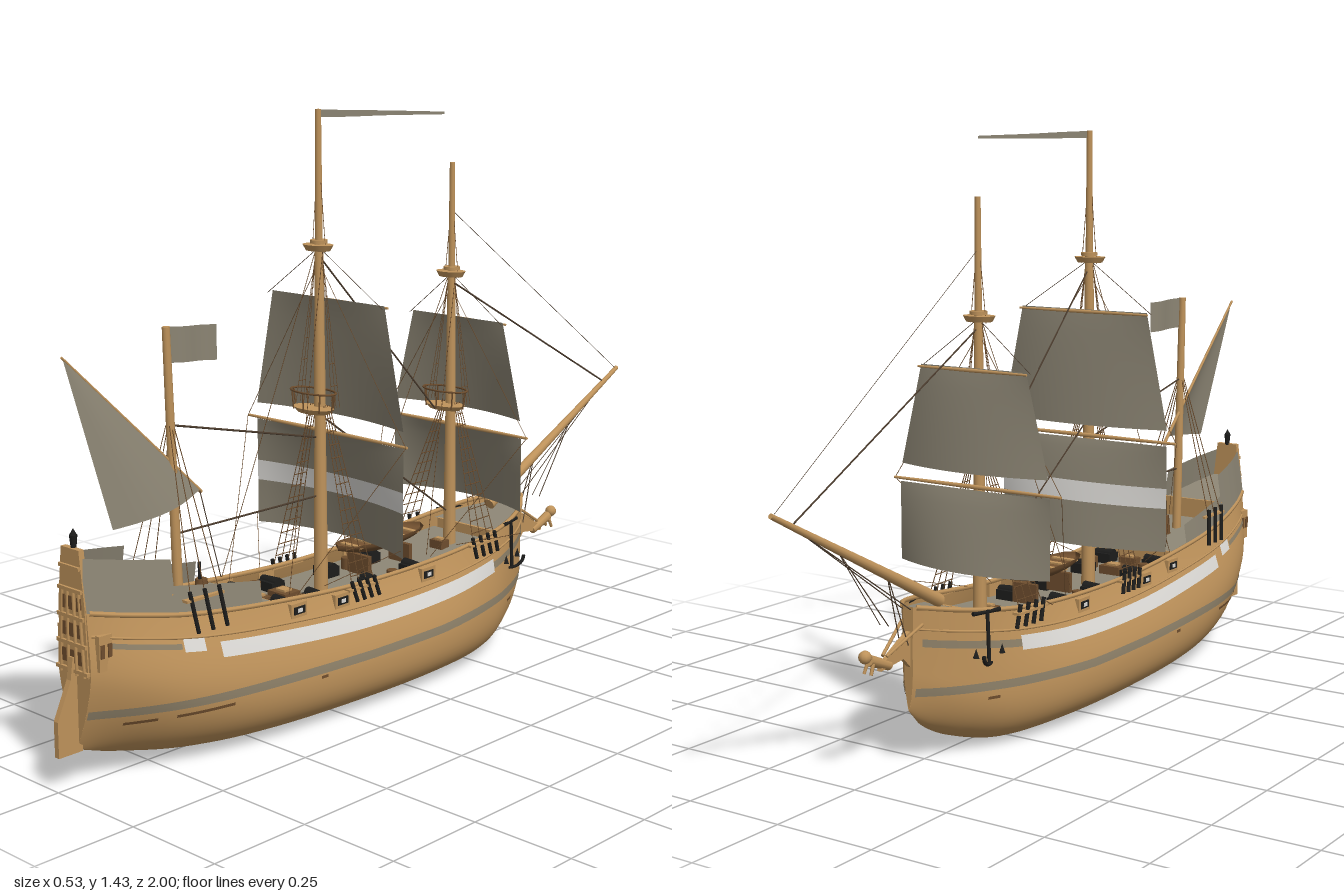
import * as THREE from 'three';

const mat = (name, color) => { const m = new THREE.MeshStandardMaterial({ color, side: THREE.DoubleSide }); m.name = name; return m; };
const V = (x, y, z) => new THREE.Vector3(x, y, z);
const lerp = THREE.MathUtils.lerp;

// Hull stations: z, keel height, widest half-width, its height, rail half-width, rail height, fullness
const ST = [
  [-.555, .13, .012, .22, .014, .375, 1.3], [-.53, .105, .035, .21, .038, .37, 1.5], [-.5, .08, .058, .2, .06, .365, 1.8],
  [-.42, .04, .1, .17, .096, .352, 2.2], [-.3, .008, .145, .145, .12, .335, 2.7], [-.1, .005, .178, .13, .125, .318, 3],
  [.2, .005, .18, .13, .122, .315, 3], [.5, .008, .165, .15, .115, .335, 2.6], [.7, .022, .14, .19, .1, .357, 2],
  [.85, .055, .1, .24, .075, .385, 1.4], [.945, .087, .056, .27, .046, .405, 1]];
function station(z) {
  let i = 0;
  while (i < ST.length - 2 && z > ST[i + 1][0]) i++;
  const a = ST[i], b = ST[i + 1], t = (z - a[0]) / (b[0] - a[0]), h = b[0] - a[0];
  const p = ST[i - 1] || a, n = ST[i + 2] || b;
  return a.map((v, k) => {                       // smooth interpolation along the hull
    const m0 = (b[k] - p[k]) / (b[0] - p[0]) * h, m1 = (n[k] - a[k]) / (n[0] - a[0]) * h;
    const t2 = t * t, t3 = t2 * t;
    return (2 * t3 - 3 * t2 + 1) * v + (t3 - 2 * t2 + t) * m0 + (3 * t2 - 2 * t3) * b[k] + (t3 - t2) * m1;
  });
}
const railY = z => station(z)[5];
function halfWidth(z, y) {
  const [, yk, wm, ym, wt, yt, f] = station(z);
  if (y <= ym) { const s = Math.max(0, (y - yk) / (ym - yk)); return wm * Math.pow(Math.max(0, 1 - Math.pow(1 - s, 1 + f / 2)), 1 / f); }
  if (y >= yt) return Math.max(.004, wt - (y - yt) * .15);
  const s = (y - ym) / (yt - ym);
  return lerp(wm, wt, s * s * (2 - s));
}
// Surface from a rule f(u, v), u and v in 0..1
function grid(nu, nv, f) {
  const pos = [], idx = [];
  for (let j = 0; j <= nv; j++) for (let i = 0; i <= nu; i++) pos.push(...f(i / nu, j / nv));
  for (let j = 0; j < nv; j++) for (let i = 0; i < nu; i++) {
    const a = j * (nu + 1) + i, c = a + nu + 1;
    idx.push(a, a + 1, c, a + 1, c + 1, c);
  }
  const g = new THREE.BufferGeometry();
  g.setAttribute('position', new THREE.Float32BufferAttribute(pos, 3));
  g.setIndex(idx); g.computeVertexNormals();
  return g;
}

export function createModel() {
  const root = new THREE.Group();
  const wood = mat('tan wood', 0xbf935b), cloth = mat('grey canvas', 0x8b8473), deckM = mat('deck grey', 0x8e8776), white = mat('white paint', 0xdcdad6),
    stripe = mat('waterline grey', 0x8d8068), black = mat('black iron', 0x1d1d1c), rope = mat('dark rope', 0x4f3f30), dark = mat('dark wood', 0x6f4e2e);
  const add = (name, geo, m, x = 0, y = 0, z = 0) => {
    const o = new THREE.Mesh(geo, m); o.name = name; o.position.set(x, y, z); root.add(o); return o;
  };
  const box = (name, m, w, h, d, x, y, z) => add(name, new THREE.BoxGeometry(w, h, d), m, x, y, z);
  // Spar or rope between two points
  const bar = (name, m, a, b, r0, r1 = r0, n = 10) => {
    const d = b.clone().sub(a), o = add(name, new THREE.CylinderGeometry(r1, r0, d.length(), n), m);
    o.position.copy(a).addScaledVector(d, .5);
    o.quaternion.setFromUnitVectors(V(0, 1, 0), d.normalize());
  };
  const line = (a, b, r = .0014, m = rope) => bar('rope', m, a, b, r, r, 4);
  const profile = (name, m, pts, depth) => {      // outline in the (z, y) plane, given thickness in x
    const g = new THREE.ExtrudeGeometry(new THREE.Shape(pts.map(p => new THREE.Vector2(...p))), { depth, bevelEnabled: false });
    add(name, g.rotateY(-Math.PI / 2).translate(depth / 2, 0, 0), m);
  };
  const sides = f => [1, -1].forEach(f);

  // Hull shell and transom
  add('hull', grid(64, 48, (u, v) => {
    const z = lerp(-.555, .945, u), s = station(z), a = Math.abs(v * 2 - 1), y = lerp(s[1], s[5], Math.pow(a, 1.8));
    return [Math.sign(v * 2 - 1) * halfWidth(z, y), y, z];
  }), wood);
  add('transom', grid(2, 12, (u, v) => { const y = lerp(.088, .5, v); return [(u * 2 - 1) * halfWidth(.945, y), y, .945]; }), wood);
  add('stem', grid(2, 8, (u, v) => { const y = lerp(.13, .375, v); return [(u * 2 - 1) * halfWidth(-.555, y), y, -.555]; }), wood);

  // Painted bands, bulwark panels and rails following the hull side
  const band = (name, m, z0, z1, lo, hi, off = .002) => sides(s => add(name, grid(48, 3, (u, v) => {
    const z = lerp(z0, z1, u), y = lerp(lo(z), hi(z), v);
    return [s * (halfWidth(z, y) + off), y, z];
  }), m));
  const wl = z => .145 + .04 * Math.max(0, -z - .05) + .022 * Math.max(0, z - .2);
  const below = d => z => railY(z) - d;
  band('waterline stripe', stripe, -.55, .943, wl, z => wl(z) + .02);
  band('bow stripe', stripe, -.54, -.3, below(.09), below(.072));
  band('stern stripe', stripe, .74, .93, below(.074), below(.062));
  band('white stripe', white, -.3, .64, below(.098), below(.064));
  band('white stripe end', white, .68, .735, below(.08), below(.052));
  [[.8, .87], [.62, .76], [.35, .37], [-.4, -.37]].forEach(([a, b]) => band('draught mark', dark, a, b, () => .137, () => .144));
  band('quarter bulwark', cloth, .5, .737, railY, z => lerp(.39, .427, (z - .5) / .237));
  band('poop bulwark', cloth, .737, .945, railY, z => lerp(.485, .522, (z - .737) / .208));
  [0, .05].forEach(d => sides(s => {
    const pts = Array.from({ length: 24 }, (_, i) => { const z = lerp(-.55, .94, i / 23), y = railY(z) - d; return V(s * (halfWidth(z, y) + .001), y, z); });
    add('rail', new THREE.TubeGeometry(new THREE.CatmullRomCurve3(pts), 60, d ? .003 : .006, 6), wood);
  }));

  // Decks with bulkheads at the steps
  const deck = (name, z0, z1, h) => add(name, grid(2, 20, (u, v) => {
    const z = lerp(z0, z1, v), y = railY(z) + h;
    return [(u * 2 - 1) * (halfWidth(z, y) - .002), y, z];
  }), deckM);
  deck('main deck', -.35, .45, -.04); deck('fore deck', -.55, -.35, -.015);
  deck('quarter deck', .45, .74, -.005); deck('poop deck', .74, .944, .045);
  box('fore bulkhead', wood, .2, .025, .008, 0, .315, -.35);
  box('quarter bulkhead', wood, .225, .04, .008, 0, .305, .45);
  box('poop bulkhead', wood, .18, .06, .008, 0, .38, .74);

  // Stern gallery, lantern and rudder
  const tr = new THREE.Shape([[-.05, .26], [.05, .26], [.044, .42], [.03, .54], [-.03, .54], [-.044, .42]].map(p => new THREE.Vector2(...p)));
  add('stern panel', new THREE.ExtrudeGeometry(tr, { depth: .014, bevelEnabled: false }), wood, 0, 0, .934);
  [.27, .33, .39, .45, .5].forEach((y, i) => box('stern ledge', wood, .108 - i * .01, .008, .018, 0, y, .945));
  [.3, .36, .42].forEach(y => [-.027, 0, .027].forEach(x => box('stern window', dark, .014, .03, .004, x, y, .949)));
  [-.04, -.014, .014, .04].forEach(x => bar('stern pilaster', wood, V(x, .26, .95), V(x * .7, .45, .95), .004, .004, 6));
  sides(s => {
    box('quarter gallery', wood, .014, .08, .035, s * .064, .315, .915);
    [.905, .925].forEach(z => box('gallery window', dark, .004, .03, .01, s * .072, .32, z));
  });
  add('lantern', new THREE.CylinderGeometry(.009, .006, .03, 8), black, 0, .552, .937);
  add('lantern cap', new THREE.ConeGeometry(.009, .016, 8), black, 0, .574, .937);
  profile('rudder', wood, [[.935, .083], [1, .083], [1, .165], [.962, .25], [.955, .3], [.935, .3]], .014);

  // Masts with caps and lookout platforms
  const mast = (name, z, y0, ys, rs, lean = 0) => ys.forEach((y, i) => {
    const a = i ? ys[i - 1] : y0;
    bar(name, wood, V(0, a - (i ? .04 : 0), z), V(0, y, z + lean), rs[i], rs[i] * .75, 12);
  });
  mast('main mast', .195, .26, [.76, 1.12, 1.43], [.018, .0145, .0095]);
  mast('fore mast', -.28, .28, [.7, 1.01, 1.28], [.017, .0135, .009]);
  mast('mizzen mast', .648, .33, [.98], [.012], .02);
  [[.195, .725, 1.11], [-.28, .66, 1.0]].forEach(([z, y, cap]) => {
    const zc = z + .022;
    add('top platform', new THREE.CylinderGeometry(.046, .036, .012, 20), wood, 0, y, zc).scale.set(1.3, 1, .75);
    const rail = add('top railing', new THREE.TorusGeometry(.05, .0025, 6, 28), dark, 0, y + .045, zc);
    rail.rotation.x = Math.PI / 2; rail.scale.set(1.35, .7, 1);
    for (let i = 0; i < 8; i++) {
      const a = i / 8 * Math.PI * 2, x = Math.cos(a) * .06, dz = Math.sin(a) * .034;
      bar('railing post', dark, V(x, y, zc + dz), V(x * 1.1, y + .045, zc + dz * 1.03), .002, .002, 5);
    }
    add('mast cap', new THREE.CylinderGeometry(.03, .024, .014, 16), wood, 0, cap, z + .003).scale.x = 1.4;
    add('cap ring', new THREE.CylinderGeometry(.021, .021, .008, 12), wood, 0, cap + .014, z);
  });
  bar('bowsprit', wood, V(0, .365, -.44), V(0, .657, -1), .016, .006, 12);

  // Square sails and yards
  const sail = (name, m, z, [yt, wt], [yb, wb], bulge, v0 = 0, v1 = 1) => add(name, grid(20, 10, (u, v) => {
    const x = u * 2 - 1, t = lerp(v0, v1, v);
    return [x * lerp(wt, wb, t), lerp(yt, yb, t), z - bulge * (1 - x * x) * Math.pow(t, .8) - .006];
  }), m);
  const yard = (y, z, w, r) => sides(s => bar('yard', wood, V(0, y, z), V(s * w, y, z), r, r * .6, 8));
  sail('main topsail', cloth, .175, [.987, .185], [.7, .245], .035);
  [[0, .4, cloth], [.4, .59, white], [.59, 1, cloth]].forEach(([a, b, m]) => sail('main course', m, .175, [.66, .245], [.395, .245], .055, a, b));
  sail('fore topsail', cloth, -.297, [.887, .15], [.645, .21], .035);
  sail('fore course', cloth, -.297, [.6, .215], [.41, .215], .05);
  [[.667, .178, .265, .0055], [.982, .163, .19, .0045], [.606, -.295, .24, .0055], [.882, -.309, .155, .0045]].forEach(a => yard(...a));

  // Lateen mizzen sail
  const A = V(0, .95, .95), B = V(0, .598, .58), C = V(.05, .573, .87);
  add('lateen sail', grid(14, 14, (u, v) => {
    const p = A.clone().lerp(B.clone().lerp(C, u), v);
    p.x += .035 * v * Math.sin(Math.PI * u);
    return p.toArray();
  }), cloth);
  bar('lateen yard', wood, V(0, .95, .952), V(-.003, .592, .573), .003, .0045, 8);

  // Flag and pennant
  add('flag', grid(12, 3, (u, v) => [.03 * u + .006 * Math.sin(u * 6), lerp(.9, .98, v) - .006 * u, .668 - .122 * u]), cloth);
  add('pennant', grid(24, 2, (u, v) => [.12 * u + .009 * Math.sin(u * 8), 1.42 - .006 * u + (v - .5) * .018 * (1 - u * .65), .195 - .295 * u]), cloth);

  // Shrouds with ratlines, and chain plates on the hull side
  const shrouds = (zs, zTop, yBase, yTop, xTop, rungs, plate) => sides(s => {
    const end = zs.length - 1, low = zs.map(z => V(s * (halfWidth(z, yBase) + .012), yBase, z)), high = zs.map((z, i) => V(s * xTop, yTop, zTop + (1.5 - i) * .006));
    box('channel', wood, .02, .006, Math.abs(zs[0] - zs[end]) + .03, low[0].x - s * .005, yBase, (zs[0] + zs[end]) / 2);
    zs.forEach((z, i) => {
      line(low[i], high[i], .0013, dark);
      bar('chain plate', black, V(s * (halfWidth(z, yBase - plate) + .006), yBase - plate, z - .012), low[i].clone().add(V(0, .02, .003)), .005, .005, 6);
    });
    for (let k = 1; k < rungs; k++) line(low[0].clone().lerp(high[0], k / rungs), low[end].clone().lerp(high[end], k / rungs), .0012, dark);
  });
  shrouds([.225, .2, .175, .15], .195, .31, .735, .022, 14, .03);
  shrouds([-.215, -.245, -.275, -.305], -.28, .325, .67, .022, 12, .035);
  shrouds([.705, .665, .625], .66, .39, .76, .006, 1, .075);

  // Upper shrouds, lifts, braces and backstays
  [[.195, .735, 1.1, 1.35, .667, .265, .982, .19], [-.28, .67, .99, 1.2, .606, .24, .882, .155]].forEach(([z, yp, yc, yt, y1, w1, y2, w2]) => sides(s => {
    [-.006, .006, .02].forEach(d => line(V(s * .06, yp, z + d), V(s * .01, yc, z), .0009, dark));
    for (let k = 1; k < 7; k++) { const t = k / 7, x = s * lerp(.06, .01, t), y = lerp(yp, yc, t); line(V(x, y, z - .006 * (1 - t)), V(x, y, z + .02 * (1 - t)), .0009, dark); }
    line(V(s * .022, yc, z), V(0, yt, z), .001, dark);
    line(V(s * w2, y2, z - .013), V(0, yc + .01, z), .0008);
    line(V(s * w1, y1, z - .013), V(s * .01, yc - .04, z), .0009, dark);
    line(V(s * w1, y1, z - .013), V(s * .11, .32, z + .2), .0008, dark);
    line(V(s * .012, yc, z), V(s * .115, .33, z + .22), .0008, dark);
    line(V(s * w1 * .92, y1 - .25, z - .02), V(s * .11, .33, z + .1), .0009, dark);
  }));
  // Fore-and-aft stays
  [[1.09, .195, .66, -.22], [.71, .195, .38, -.27], [.98, -.28, .63, -.93], [.76, .662, .655, .2], [.51, .655, .512, .2]].forEach(([a, b, c, d]) => line(V(0, a, b), V(0, c, d), .0024));
  line(V(0, 1.16, -.28), V(0, .655, -.995), .0008);
  line(V(0, .598, .58), V(0, .38, .52));
  [[.555, -.8, .35, -.64], [.62, -.93, .37, -.56], [.47, -.63, .29, -.57]].forEach(([a, b, c, d]) => sides(s => line(V(0, a, b), V(s * .012, c, d))));

  // Beakhead and carved figurehead
  profile('beakhead knee', wood, [[-.55, .23], [-.58, .26], [-.66, .25], [-.655, .265], [-.585, .305], [-.55, .32]], .012);
  bar('figure body', wood, V(0, .255, -.625), V(0, .283, -.695), .011, .013, 8);
  add('figure head', new THREE.SphereGeometry(.015, 10, 8), wood, 0, .293, -.708);
  sides(s => {
    bar('figure leg', wood, V(s * .008, .275, -.69), V(s * .01, .252, -.7), .005, .004, 6);
    bar('beakhead rail', wood, V(s * .03, .335, -.54), V(s * .006, .28, -.64), .004, .004, 6);
    // Anchor lying against the bow
    const x = s * (halfWidth(-.4, .24) + .006), xt = s * (halfWidth(-.4, .345) + .006);
    bar('anchor shank', black, V(x, .225, -.4), V(xt, .35, -.4), .0045, .0045, 8);
    bar('anchor stock', black, V(s * (halfWidth(-.36, .345) + .005), .345, -.362), V(s * (halfWidth(-.438, .345) + .005), .345, -.438), .005, .005, 8);
    const arms = add('anchor arms', new THREE.TorusGeometry(.037, .005, 6, 16, Math.PI).rotateZ(Math.PI).rotateY(Math.PI / 2), black, x, .25, -.4);
    arms.scale.y = .75; arms.rotation.y = -s * .3;
    [-.036, .036].forEach(d => add('anchor fluke', new THREE.ConeGeometry(.009, .022, 4), black, x - s * d * -.3, .254, -.4 + d));
    // Guns, ports and casks
    [-.05, .1, .29, .4].forEach(z => {
      const y = railY(z) - .018;
      bar('gun barrel', black, V(s * .05, y, z), V(s * .105, y, z), .014, .011, 10);
      box('gun carriage', black, .052, .026, .042, s * .076, y - .01, z);
    });
    [.4, .26, -.04].forEach(z => {
      const y = railY(z) - .025, w = halfWidth(z, y);
      box('gun port', wood, .014, .034, .05, s * w, y, z);
      box('port opening', black, .006, .018, .034, s * (w + .006), y, z);
      box('port mouth', white, .004, .009, .014, s * (w + .009), y, z);
    });
    [.025, .34].forEach(z => add('cask', new THREE.CylinderGeometry(.014, .014, .03, 10), dark, s * .078, railY(z) - .026, z));
  });

  // Ship's boat, hatches and deck fittings
  add('ship boat', grid(20, 12, (u, v) => {
    const t = u * 2 - 1, a = Math.PI * v, w = .042 * Math.sqrt(Math.max(0, 1 - t * t * t * t));
    return [Math.cos(a) * w, .367 + .005 * t * t - Math.sin(a) * .032 * (1 - t * t * .6), -.015 + t * .15];
  }), dark);
  [-.1, -.05, 0, .05, .1].forEach(d => box('boat thwart', wood, .07, .004, .014, 0, .362, -.015 + d));
  [-.09, .06].forEach(z => box('boat cradle', dark, .07, .05, .012, 0, .31, z));
  [[.32, .06, .05], [.4, .05, .03], [-.24, .04, .03]].forEach(([z, w, d]) => {
    box('hatch coaming', dark, w, .022, d, 0, railY(z) - .03, z);
    box('hatch cover', wood, w * .5, .006, d * .5, 0, railY(z) - .017, z);
  });
  add('capstan', new THREE.CylinderGeometry(.014, .018, .05, 10), dark, 0, .365, .58);
  bar('tiller post', black, V(0, .34, .585), V(0, .43, .585), .004, .004, 6);
  return root;
}
